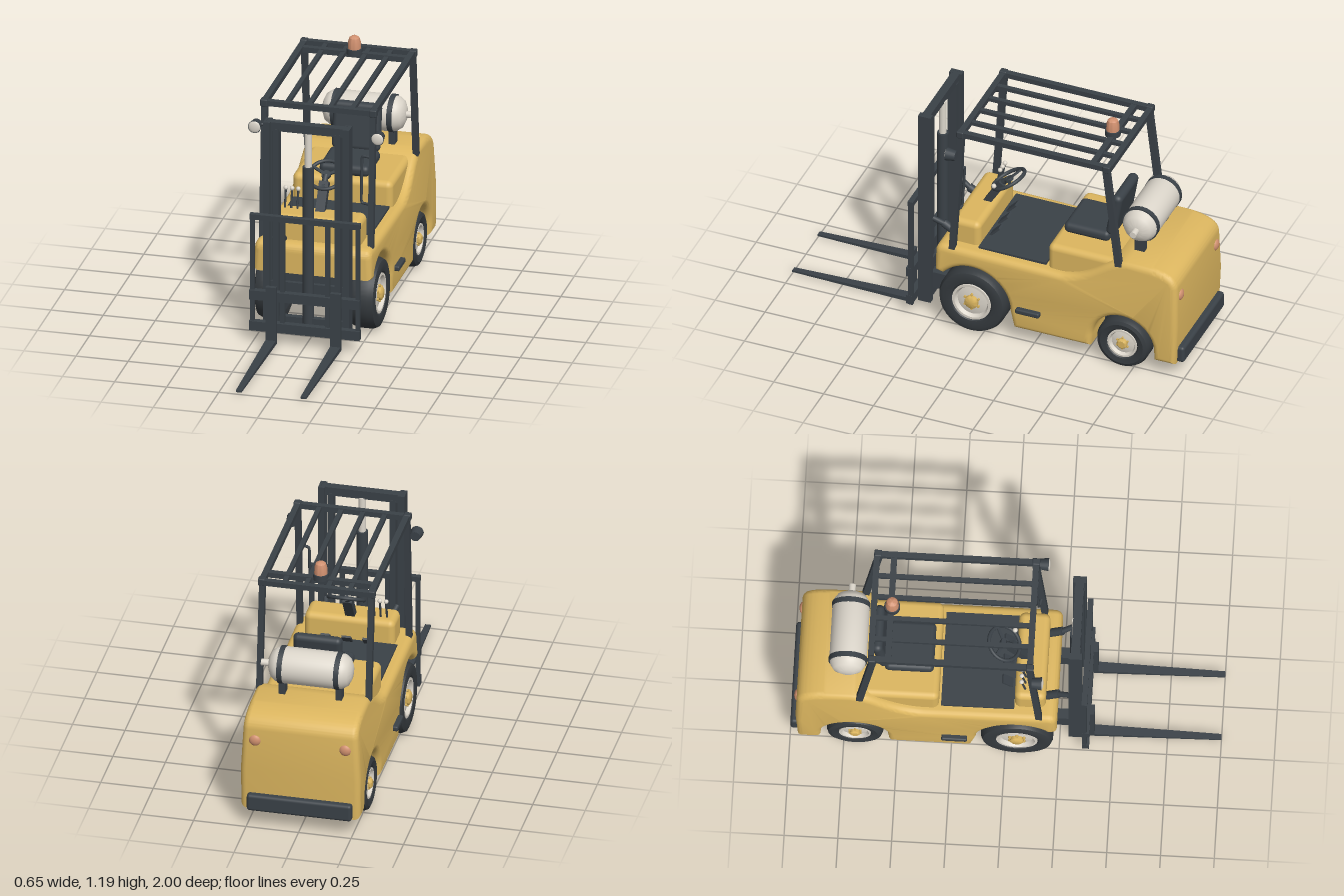
import * as THREE from 'three';
import { toCreasedNormals } from 'three/addons/utils/BufferGeometryUtils.js';
import { RoundedBoxGeometry } from 'three/addons/geometries/RoundedBoxGeometry.js';

const mat = (name, color) => Object.assign(new THREE.MeshStandardMaterial({ color }), { name });

export function createModel() {
  const model = new THREE.Group();
  model.name = 'forklift';
  const yellow = mat('yellow paint', 0xdcb65f);
  const dark = mat('dark steel', 0x3a4147);
  const rubber = mat('rubber', 0x353a3e);
  const light = mat('off white', 0xdcd6cb);
  const orange = mat('orange lens', 0xd0906f);
  const V = (x, y, z) => new THREE.Vector3(x, y, z);

  const add = (name, geo, m, x = 0, y = 0, z = 0, parent = model) => {
    const mesh = new THREE.Mesh(geo, m);
    mesh.name = name;
    mesh.position.set(x, y, z);
    parent.add(mesh);
    return mesh;
  };
  const box = (name, m, w, h, d, x, y, z) => add(name, new THREE.BoxGeometry(w, h, d), m, x, y, z);
  const soft = (name, m, w, h, d, r, x, y, z) => add(name, new RoundedBoxGeometry(w, h, d, 4, r), m, x, y, z);
  // Bar running from a to b
  const aim = (mesh, a, b) => {
    mesh.position.copy(a).add(b).multiplyScalar(0.5);
    mesh.quaternion.setFromUnitVectors(V(0, 1, 0), b.clone().sub(a).normalize());
    return mesh;
  };
  const rod = (name, m, a, b, r, r2 = r) => aim(add(name, new THREE.CylinderGeometry(r2, r, a.distanceTo(b), 20), m), a, b);
  const beam = (name, m, a, b, w, d) => aim(add(name, new THREE.BoxGeometry(w, a.distanceTo(b), d), m), a, b);
  const lathe = (pts, seg = 40) =>
    toCreasedNormals(new THREE.LatheGeometry(pts.map(p => new THREE.Vector2(...p)), seg), 0.6);

  // Body: side outline with wheel arches, extruded across and tapered toward the top
  const s = new THREE.Shape();
  s.moveTo(0.205, 0.3);
  s.lineTo(0.24, 0.31);
  s.lineTo(0.24, 0.41);
  s.quadraticCurveTo(0.24, 0.457, 0.19, 0.457);
  s.lineTo(-0.3, 0.45);
  s.lineTo(-0.38, 0.447);
  s.bezierCurveTo(-0.54, 0.455, -0.6, 0.59, -0.72, 0.597);
  s.lineTo(-0.83, 0.595);
  s.bezierCurveTo(-0.9, 0.588, -0.965, 0.57, -0.97, 0.51);
  s.lineTo(-0.975, 0.3);
  s.lineTo(-0.965, 0.088);
  s.lineTo(-0.858, 0.088);
  s.lineTo(-0.855, 0.137);
  s.absarc(-0.7, 0.137, 0.155, Math.PI, 0, true);
  s.lineTo(-0.54, 0.085);
  s.lineTo(-0.155, 0.085);
  s.lineTo(-0.135, 0.175);
  s.absarc(0.055, 0.175, 0.19, Math.PI, 0.7, true);
  const bevel = 0.03, width = 0.572;
  let bodyGeo = new THREE.ExtrudeGeometry(s, {
    depth: width - 2 * bevel, bevelThickness: bevel, bevelSize: bevel, bevelOffset: -bevel,
    bevelSegments: 5, curveSegments: 24,
  });
  bodyGeo.translate(0, 0, bevel - width / 2).rotateY(-Math.PI / 2);
  const p = bodyGeo.attributes.position;
  for (let i = 0; i < p.count; i++) {
    p.setX(i, p.getX(i) * (1 - 0.22 * Math.max(0, p.getY(i) - 0.33)));
  }
  add('body', toCreasedNormals(bodyGeo, 0.6), yellow);
  soft('seatDeck', yellow, 0.48, 0.17, 0.4, 0.03, 0, 0.49, -0.51);
  soft('dashCowl', yellow, 0.43, 0.16, 0.145, 0.03, 0, 0.495, 0.113);
  box('floorMat', dark, 0.46, 0.012, 0.34, 0, 0.457, -0.13);
  box('frontAxle', dark, 0.36, 0.17, 0.29, 0, 0.24, 0.055);
  box('rearAxle', dark, 0.34, 0.19, 0.26, 0, 0.19, -0.7);
  soft('rearBumper', dark, 0.5, 0.085, 0.045, 0.015, 0, 0.133, -0.977);

  // Wheels, built with the axle along y and turned outward
  const wheel = (name, r, rim, w, x, y, z) => {
    const g = new THREE.Group();
    const h = w / 2;
    add('tyre', lathe([[rim, -h * 0.85], [r * 0.82, -h], [r * 0.94, -h * 0.88], [r, -h * 0.55], [r, h * 0.55],
      [r * 0.94, h * 0.88], [r * 0.82, h], [rim + 0.008, h * 0.9], [rim, h * 0.75], [rim, -h * 0.85]], 48), rubber, 0, 0, 0, g);
    add('rim', lathe([[0, -h * 0.8], [rim, -h * 0.8], [rim, h * 0.88], [rim * 0.88, h * 0.88], [rim * 0.78, h * 0.6],
      [rim * 0.45, h * 0.7], [0, h * 0.7]]), light, 0, 0, 0, g);
    add('hub', lathe([[rim * 0.34, 0], [rim * 0.34, h * 0.95], [rim * 0.24, h * 1.05], [0, h * 1.05]], 24), yellow, 0, 0, 0, g);
    for (let i = 0; i < 6; i++) {
      const a = i * Math.PI / 3;
      add('wheelBolt', new THREE.CylinderGeometry(rim * 0.07, rim * 0.07, h * 0.3, 6), yellow,
        Math.cos(a) * rim * 0.4, h * 0.7, Math.sin(a) * rim * 0.4, g);
    }
    g.name = name;
    g.position.set(x, y, z);
    g.rotation.z = -Math.sign(x) * Math.PI / 2;
    model.add(g);
  };

  // Parts mirrored on both sides
  for (const k of [-1, 1]) {
    wheel('frontWheel', 0.168, 0.096, 0.13, k * 0.225, 0.176, 0.055);
    wheel('rearWheel', 0.131, 0.074, 0.115, k * 0.222, 0.138, -0.698);
    soft('sideStep', dark, 0.05, 0.026, 0.12, 0.008, k * 0.285, 0.204, -0.235);
    const tail = add('tailLight', new THREE.SphereGeometry(0.029, 20, 12), orange, k * 0.215, 0.455, -0.966);
    tail.scale.z = 0.6;

    // Overhead guard posts and side rails
    beam('frontPost', dark, V(k * 0.26, 0.44, 0.157), V(k * 0.26, 1.1, 0.112), 0.027, 0.03);
    beam('rearPost', dark, V(k * 0.26, 0.57, -0.678), V(k * 0.26, 1.1, -0.615), 0.027, 0.032);
    box('guardRail', dark, 0.028, 0.026, 0.76, k * 0.26, 1.108, -0.255);
    for (const z of [0.115, -0.62]) soft('guardCorner', dark, 0.034, 0.036, 0.036, 0.006, k * 0.262, 1.107, z);
    for (const x of [0.052, 0.156]) box('guardSlat', dark, 0.022, 0.018, 0.73, k * x, 1.106, -0.255);

    // Work lights
    rod('lampHousing', dark, V(k * 0.295, 1, 0.125), V(k * 0.295, 1, 0.172), 0.024, 0.031);
    const lens = add('lampLens', new THREE.SphereGeometry(0.029, 24, 12), light, k * 0.295, 1, 0.171);
    lens.scale.z = 0.3;
    rod('lampBracket', dark, V(k * 0.25, 1, 0.125), V(k * 0.295, 1, 0.14), 0.008);

    // Mast channels: web with two flanges, plus inner rail
    box('mastWeb', dark, 0.012, 1.05, 0.063, k * 0.2, 0.583, 0.322);
    for (const z of [0.298, 0.346]) box('mastFlange', dark, 0.032, 1.05, 0.015, k * 0.19, 0.583, z);
    box('innerMast', dark, 0.027, 1.0, 0.045, k * 0.147, 0.575, 0.322);
    rod('tiltCylinder', dark, V(k * 0.155, 0.45, 0.17), V(k * 0.155, 0.495, 0.245), 0.02);
    rod('tiltRod', dark, V(k * 0.155, 0.49, 0.24), V(k * 0.17, 0.52, 0.295), 0.013);
    box('mastMount', dark, 0.05, 0.085, 0.13, k * 0.15, 0.17, 0.245);

    // Load backrest and forks
    box('backrestPost', dark, 0.02, 0.58, 0.022, k * 0.253, 0.355, 0.368);
    box('backrestBar', dark, 0.02, 0.56, 0.018, k * 0.108, 0.355, 0.368);
    box('forkShank', dark, 0.05, 0.285, 0.022, k * 0.155, 0.16, 0.4);
    const blade = new THREE.BoxGeometry(0.05, 0.022, 0.61);
    const q = blade.attributes.position;
    for (let i = 0; i < q.count; i++) {
      if (q.getZ(i) > 0) q.setXYZ(i, q.getX(i) * 0.55, q.getY(i) > 0 ? 0.0 : -0.009, q.getZ(i));
    }
    blade.computeVertexNormals();
    add('forkBlade', blade, dark, k * 0.155, 0.026, 0.695);
  }

  // Overhead guard cross bars and beacon
  for (const z of [0.115, -0.625, -0.545]) box('guardCrossBar', dark, 0.53, 0.026, 0.028, 0, 1.106, z);
  rod('beaconBase', dark, V(0, 1.11, -0.54), V(0, 1.138, -0.54), 0.037);
  add('beacon', lathe([[0.031, 0], [0.03, 0.035], [0.024, 0.055], [0.012, 0.064], [0, 0.065]], 28), orange, 0, 1.135, -0.54);
  // Grab handle beside the left front post
  const handle = new THREE.CatmullRomCurve3([V(0.257, 0.885, 0.125), V(0.215, 0.885, 0.118), V(0.207, 0.87, 0.118),
    V(0.207, 0.67, 0.13), V(0.215, 0.655, 0.132), V(0.257, 0.655, 0.142)], false, 'catmullrom', 0.2);
  add('grabHandle', new THREE.TubeGeometry(handle, 40, 0.007, 8), dark);

  // Mast cross members, lift cylinder and carriage
  box('mastTopBar', dark, 0.41, 0.042, 0.04, 0, 1.086, 0.322);
  box('mastBottomBar', dark, 0.38, 0.06, 0.03, 0, 0.1, 0.312);
  box('mastMiddleBar', dark, 0.38, 0.05, 0.02, 0, 0.27, 0.3);
  rod('liftCylinder', dark, V(0, 0.08, 0.313), V(0, 0.89, 0.313), 0.027);
  rod('liftRod', light, V(0, 0.88, 0.313), V(0, 1.07, 0.313), 0.017);
  box('carriageUpper', dark, 0.53, 0.046, 0.032, 0, 0.247, 0.374);
  box('carriageLower', dark, 0.53, 0.046, 0.032, 0, 0.092, 0.374);
  box('backrestTop', dark, 0.53, 0.026, 0.026, 0, 0.637, 0.368);

  // Seat
  soft('seatCushion', dark, 0.24, 0.055, 0.23, 0.024, 0, 0.6, -0.455);
  const back = soft('seatBack', dark, 0.232, 0.23, 0.05, 0.024, 0, 0.727, -0.588);
  back.rotation.x = -0.17;

  // Steering, levers and pedals
  beam('steeringColumn', dark, V(0, 0.56, 0.09), V(0, 0.69, 0.01), 0.045, 0.035);
  rod('steeringShaft', dark, V(0, 0.68, 0.02), V(0, 0.712, -0.015), 0.014);
  const steering = new THREE.Group();
  steering.name = 'steeringWheel';
  steering.position.set(0, 0.712, -0.018);
  steering.rotation.x = 0.53;
  add('steeringRim', new THREE.TorusGeometry(0.083, 0.009, 12, 40).rotateX(Math.PI / 2), dark, 0, 0, 0, steering);
  add('steeringHub', new THREE.CylinderGeometry(0.022, 0.022, 0.016, 20), dark, 0, 0, 0, steering);
  for (let i = 0; i < 3; i++) {
    const a = i * Math.PI * 2 / 3 + Math.PI / 2;
    const spoke = add('spoke', new THREE.BoxGeometry(0.08, 0.008, 0.014), dark, Math.cos(a) * 0.042, 0, Math.sin(a) * 0.042, steering);
    spoke.rotation.y = -a;
  }
  add('steeringKnob', new THREE.SphereGeometry(0.012, 16, 12), light, 0.07, 0.018, 0.043, steering);
  model.add(steering);
  for (const x of [-0.17, -0.14, -0.11]) {
    rod('lever', dark, V(x, 0.565, 0.09), V(x, 0.66, 0.072), 0.005);
    add('leverKnob', new THREE.SphereGeometry(0.011, 16, 12), light, x, 0.667, 0.071);
  }
  for (const x of [-0.1, 0, 0.1]) beam('pedal', dark, V(x, 0.46, 0.025), V(x, 0.508, -0.02), 0.045, 0.01);

  // Gas tank across the rear, with straps, valve and cradle
  const tank = add('gasTank', lathe([[0, -0.2], [0.035, -0.197], [0.065, -0.183], [0.081, -0.16], [0.087, -0.13], [0.087, 0.13],
    [0.081, 0.16], [0.065, 0.183], [0.035, 0.197], [0, 0.2]]), light, 0, 0.743, -0.738);
  tank.rotation.z = -Math.PI / 2;
  rod('tankValve', light, V(0.195, 0.743, -0.738), V(0.237, 0.743, -0.738), 0.016);
  for (const x of [-0.135, 0.135]) {
    rod('tankStrap', dark, V(x - 0.012, 0.743, -0.738), V(x + 0.012, 0.743, -0.738), 0.09);
    box('tankCradle', dark, 0.03, 0.09, 0.05, x, 0.625, -0.735);
  }
  return model;
}
